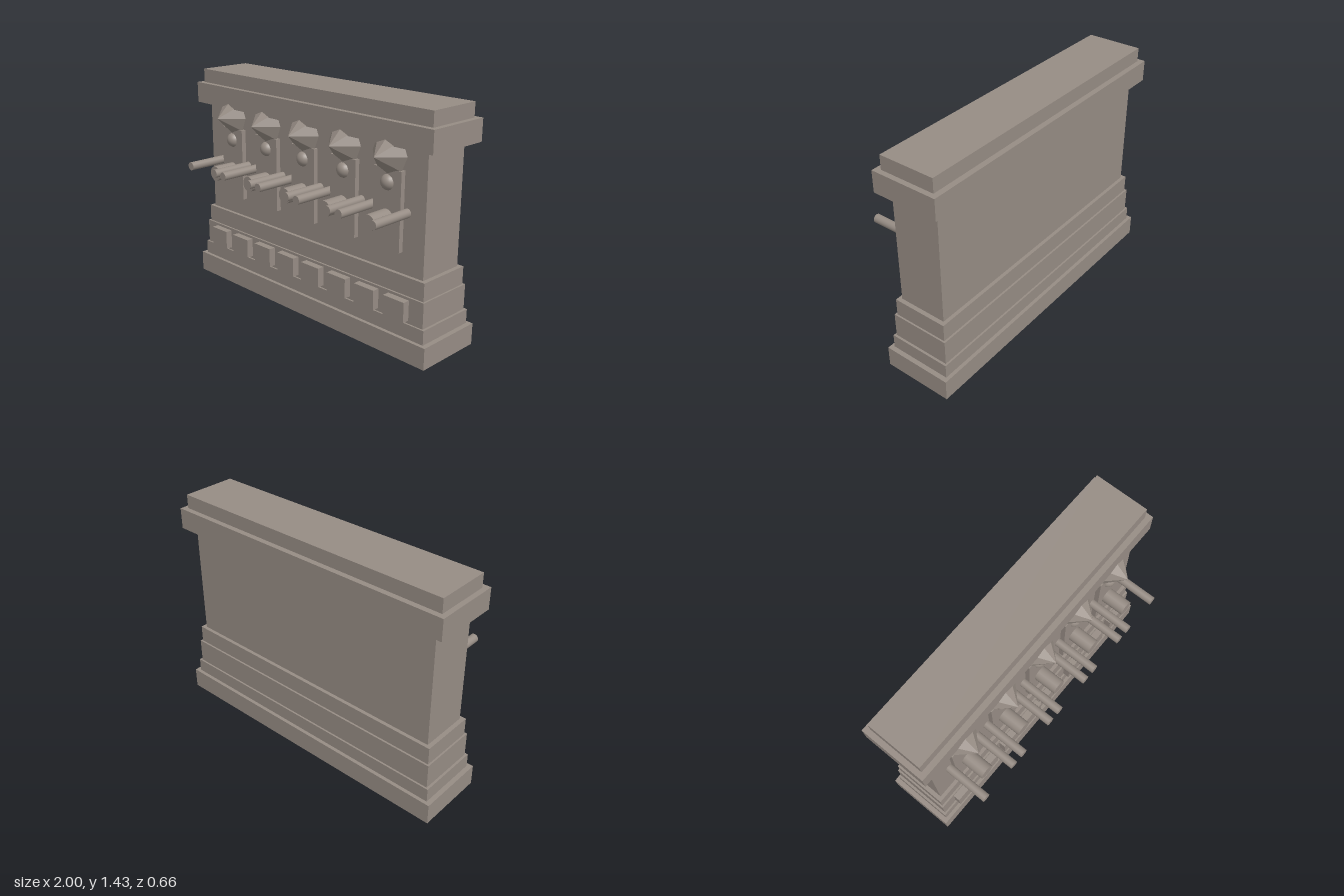
import * as THREE from 'three';

const stone = new THREE.MeshStandardMaterial({ color: 0x968c84 });
stone.name = 'stone';
const facetedStone = stone.clone(); // same colour, faceted shading
facetedStone.flatShading = true;

function add(parent, name, geometry, x, y, z, material = stone) {
  const mesh = new THREE.Mesh(geometry, material);
  mesh.name = name;
  mesh.position.set(x, y, z);
  parent.add(mesh);
  return mesh;
}

// Cylinder lying along z, between two depths
function rod(parent, name, radius, x, y, z0, z1) {
  const geometry = new THREE.CylinderGeometry(radius, radius, z1 - z0, 20).rotateX(Math.PI / 2);
  return add(parent, name, geometry, x, y, (z0 + z1) / 2);
}

export function createModel() {
  const model = new THREE.Group();
  model.name = 'stoneWall';

  // Stacked courses: name, half width, bottom, top, half depth
  const courses = [
    ['plinth', 1.0, 0, 0.133, 0.2225],
    ['lowerStep', 0.97, 0.133, 0.221, 0.2],
    ['blockBand', 0.955, 0.221, 0.377, 0.1885],
    ['upperStep', 0.944, 0.377, 0.487, 0.1765],
    ['wall', 0.917, 0.487, 1.213, 0.154],
    ['cornice', 0.987, 1.213, 1.346, 0.211],
    ['cap', 0.955, 1.346, 1.434, 0.1765],
  ];
  for (const [name, hw, y0, y1, hd] of courses) {
    add(model, name, new THREE.BoxGeometry(hw * 2, y1 - y0, hd * 2), 0, (y0 + y1) / 2, -0.1065);
  }

  // Row of projecting blocks on the band
  const block = new THREE.BoxGeometry(0.15, 0.122, 0.09);
  for (let i = 0; i < 8; i++) {
    add(model, 'bandBlock', block, (i - 3.5) * 0.2223, 0.3, 0.082);
  }

  // Five ornamented bays
  const panel = new THREE.BoxGeometry(0.198, 0.465, 0.05);
  const ball = new THREE.SphereGeometry(0.048, 24, 16);
  const spike = new THREE.ConeGeometry(0.123, 0.129, 8).rotateX(Math.PI / 2);
  for (let i = -2; i <= 2; i++) {
    const bay = new THREE.Group();
    bay.name = 'bay';
    bay.position.x = i * 0.3335;
    model.add(bay);
    add(bay, 'panel', panel, 0, 0.8455, 0.0535);
    add(bay, 'spike', spike, 0, 1.158, 0.1275, facetedStone);
    add(bay, 'ball', ball, 0, 1.0, 0.063);
    rod(bay, 'spout', 0.048, 0, 0.801, 0.06, 0.227);
    for (const side of [-1, 1]) rod(bay, 'sidePeg', 0.0265, side * 0.123, 0.845, 0.03, 0.329);
  }
  return model;
}
